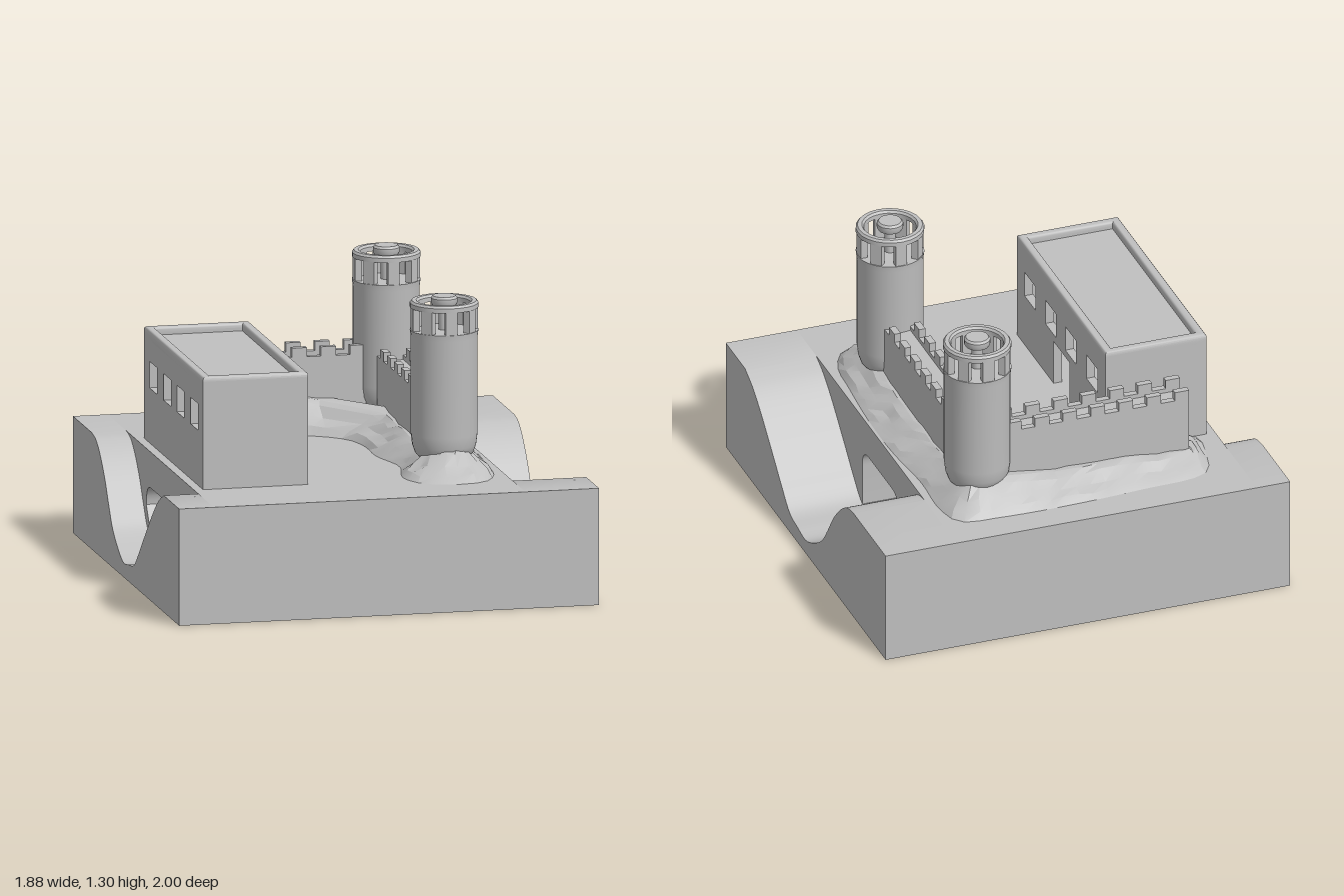
import * as THREE from 'three';
import { toCreasedNormals } from 'three/addons/utils/BufferGeometryUtils.js';

const stone = new THREE.MeshStandardMaterial({ color: 0xc0c0c0 });
stone.name = 'grey stone';
const rock = stone;
const GROUND = 0.52;

function add(parent, name, geometry, x = 0, y = 0, z = 0) {
  const mesh = new THREE.Mesh(geometry, stone);
  mesh.name = name;
  mesh.position.set(x, y, z);
  parent.add(mesh);
  return mesh;
}

// Box given by its limits on each axis
function block(parent, name, x0, x1, y0, y1, z0, z1) {
  return add(parent, name, new THREE.BoxGeometry(x1 - x0, y1 - y0, z1 - z0),
    (x0 + x1) / 2, (y0 + y1) / 2, (z0 + z1) / 2);
}

// Extrude a (-z, y) shape along x, from x0 to x1
function slab(parent, name, shape, x0, x1) {
  const g = new THREE.ExtrudeGeometry(shape, { depth: x1 - x0, bevelEnabled: false, curveSegments: 8 });
  g.rotateY(Math.PI / 2);
  return add(parent, name, toCreasedNormals(g, 0.5), x0, 0, 0);
}

function rectPath(Type, x0, x1, y0, y1) {
  return new Type([[x0, y0], [x1, y0], [x1, y1], [x0, y1]].map(p => new THREE.Vector2(...p)));
}

function lathe(parent, name, points, y = 0, segments = 32) {
  const g = new THREE.LatheGeometry(points.map(p => new THREE.Vector2(...p)), segments);
  return add(parent, name, toCreasedNormals(g, 0.6), 0, y, 0);
}

// Ground block: a valley at each side and a tunnel between them
const VALLEY = [[0.76, 0.52], [0.66, 0.475], [0.55, 0.395], [0.4, 0.265], [0.3, 0.175], [0.2, 0.095],
  [0.1, 0.075], [0, 0.065], [-0.1, 0.105], [-0.2, 0.17], [-0.27, 0.255], [-0.35, 0.365],
  [-0.44, 0.455], [-0.52, 0.505], [-0.6, 0.52]];

function valleyShape(shift) {
  const s = new THREE.Shape();
  s.moveTo(-1, 0).lineTo(1, 0).lineTo(1, GROUND);
  const pts = VALLEY.map(([z, y]) => new THREE.Vector2(-z + shift, y)).reverse();
  s.lineTo(pts[0].x, pts[0].y);
  s.splineThru(pts.slice(1));
  s.lineTo(-1, GROUND);
  return s;
}

function ground(parent) {
  const g = new THREE.Group();
  g.name = 'ground';
  parent.add(g);
  slab(g, 'right valley', valleyShape(0), 0.61, 0.94);
  slab(g, 'left valley', valleyShape(0.05), -0.94, -0.785);
  const mid = rectPath(THREE.Shape, -1, 1, 0, GROUND);
  const tunnel = new THREE.Path();
  tunnel.moveTo(-0.18, 0.085).lineTo(-0.18, 0.28);
  tunnel.quadraticCurveTo(-0.18, 0.36, -0.1, 0.36).lineTo(0.19, 0.36);
  tunnel.quadraticCurveTo(0.27, 0.36, 0.27, 0.27);
  tunnel.lineTo(0.2, 0.17).lineTo(0.1, 0.105).lineTo(0, 0.065).lineTo(-0.1, 0.075);
  mid.holes.push(tunnel);
  slab(g, 'bridge with tunnel', mid, -0.785, 0.61);
}

// Hollow hall with windows, a doorway and a sunken roof
function hall(parent) {
  const g = new THREE.Group();
  g.name = 'hall';
  parent.add(g);
  const x0 = -0.745, x1 = -0.275, z0 = -0.48, z1 = 0.63, top = 1.0, t = 0.04;
  const sideWall = door => {
    const s = new THREE.Shape();
    s.moveTo(-z1, GROUND);
    if (door) s.lineTo(-0.17, GROUND).lineTo(-0.17, 0.73).lineTo(0.03, 0.73).lineTo(0.03, GROUND);
    s.lineTo(-z0, GROUND).lineTo(-z0, top).lineTo(-z1, top);
    for (const z of [0.465, 0.205, -0.045, -0.31])
      s.holes.push(rectPath(THREE.Path, -z - 0.068, -z + 0.068, 0.765, 0.883));
    return s;
  };
  slab(g, 'windowed wall', sideWall(false), x0, x0 + t);
  slab(g, 'wall with doorway', sideWall(true), x1 - t, x1);
  block(g, 'front wall', x0 + t, x1 - t, GROUND, top, z1 - t, z1);
  block(g, 'back wall', x0 + t, x1 - t, GROUND, top, z0, z0 + t);
  block(g, 'roof', x0 + t / 2, x1 - t / 2, 0.95, 0.985, z0 + t / 2, z1 - t / 2);
  // Rounded roof rim
  const b = 0.012;
  const rim = rectPath(THREE.Shape, x0 + b, x1 - b, z0 + b, z1 - b);
  rim.holes.push(rectPath(THREE.Path, x0 + 0.028, x1 - 0.028, z0 + 0.028, z1 - 0.028));
  const rg = new THREE.ExtrudeGeometry(rim, { depth: 0.03, bevelSize: b, bevelThickness: b, bevelSegments: 3 });
  rg.rotateX(Math.PI / 2).scale(1, 1, 1);
  add(g, 'roof rim', toCreasedNormals(rg, 0.6), 0, 1.02 - b, 0);
}

// Round tower with an open lookout
function tower(parent, name, x, z) {
  const g = new THREE.Group();
  g.name = name;
  g.position.set(x, 0, z);
  parent.add(g);
  lathe(g, 'tower body', [[0.09, GROUND], [0.105, 0.58], [0.128, 0.605], [0.14, 0.64], [0.146, 0.69],
    [0.146, 1.12], [0.15, 1.15], [0, 1.15]]);
  lathe(g, 'lookout ring', [[0.115, 1.25], [0.15, 1.25], [0.15, 1.27], [0.142, 1.28], [0.123, 1.28],
    [0.115, 1.27], [0.115, 1.25]], 0, 24);
  for (let i = 0; i < 8; i++) {
    const a = i * Math.PI / 4;
    const p = add(g, 'lookout post', new THREE.BoxGeometry(0.052, 0.11, 0.03),
      Math.sin(a) * 0.13, 1.2, Math.cos(a) * 0.13);
    p.rotation.y = a;
  }
  lathe(g, 'centre post and cap', [[0.025, 1.15], [0.025, 1.25], [0.052, 1.258], [0.058, 1.27],
    [0.058, 1.29], [0.05, 1.3], [0, 1.3]], 0, 20);
}

// Battlement wall running along local x
function battlement(parent, name, length, firstMerlon, width = 0.145) {
  const g = new THREE.Group();
  g.name = name;
  parent.add(g);
  const h = width / 2, t = 0.03;
  block(g, 'wall', 0, length, GROUND, 0.815, -h, h);
  for (const s of [-1, 1]) {
    const a = s > 0 ? h - t : -h, b = a + t;
    block(g, 'parapet', 0, length, 0.815, 0.835, a, b);
    for (let x = firstMerlon; x < length - 0.01; x += 0.13)
      block(g, 'merlon', Math.max(x, 0), Math.min(x + 0.066, length), 0.835, 0.876, a, b);
  }
  return g;
}

// Rocky mound under the walls: rings stepping in from the outline to the wall line
const OUTLINE = [[-0.69, -0.48, 0.58], [-0.68, -0.65, 0.59], [-0.62, -0.8, 0.58], [-0.3, -0.84, 0.6],
  [0.05, -0.86, 0.61], [0.35, -0.855, 0.64], [0.53, -0.83, 0.645], [0.575, -0.7, 0.63], [0.57, -0.45, 0.61],
  [0.595, -0.15, 0.6], [0.595, 0.15, 0.6], [0.575, 0.45, 0.62], [0.56, 0.62, 0.63], [0.49, 0.75, 0.64],
  [0.36, 0.78, 0.64], [0.22, 0.73, 0.63], [0.16, 0.6, 0.62], [0.2, 0.35, 0.61], [0.15, 0.12, 0.62],
  [0.15, -0.08, 0.62], [0.11, -0.24, 0.63], [0, -0.34, 0.66], [-0.12, -0.385, 0.7], [-0.27, -0.365, 0.71],
  [-0.31, -0.48, 0.7], [-0.5, -0.485, 0.6]];
const PROFILE = [[0, 0], [0.12, 0.25], [0.3, 0.5], [0.48, 0.85], [0.62, 1], [1, 1]];

function mound(parent) {
  let seed = 7;
  const rand = () => (seed = (seed * 16807) % 2147483647) / 2147483647 - 0.5;
  const curve = new THREE.CatmullRomCurve3(OUTLINE.map(([x, z, h]) => new THREE.Vector3(x, h, z)), true, 'centripetal');
  const n = 80, pos = [], index = [];
  const pts = curve.getSpacedPoints(n).slice(0, n);
  PROFILE.forEach(([t, k], r) => {
    for (const p of pts) {
      // nearest point on the L-shaped wall line
      const a = [THREE.MathUtils.clamp(p.x, -0.58, 0.37), -0.605];
      const b = [0.37, THREE.MathUtils.clamp(p.z, -0.605, 0.48)];
      const da = Math.hypot(p.x - a[0], p.z - a[1]), db = Math.hypot(p.x - b[0], p.z - b[1]);
      const c = da < db ? a : b;
      const j = r > 0 && r < 5 ? 0.014 : 0;
      pos.push(p.x + (c[0] - p.x) * t + rand() * j, GROUND + (p.y - GROUND) * k + rand() * j,
        p.z + (c[1] - p.z) * t + rand() * j);
    }
    if (r === 0) return;
    for (let i = 0; i < n; i++) {
      const i2 = (i + 1) % n, o = (r - 1) * n, q = r * n;
      index.push(o + i, q + i, o + i2, o + i2, q + i, q + i2);
    }
  });
  const g = new THREE.BufferGeometry();
  g.setAttribute('position', new THREE.Float32BufferAttribute(pos, 3));
  g.setIndex(index);
  g.computeVertexNormals();
  add(parent, 'rocky mound', toCreasedNormals(g, 0.3)).material = rock;
}

export function createModel() {
  const model = new THREE.Group();
  model.name = 'castle on a bridge';
  ground(model);
  hall(model);
  mound(model);
  tower(model, 'front tower', 0.37, 0.48);
  tower(model, 'back tower', 0.37, -0.61);
  const back = battlement(model, 'back battlement', 0.85, 0);
  back.position.set(-0.59, 0, -0.605);
  const side = battlement(model, 'side battlement', 0.86, 0.06);
  side.rotation.y = -Math.PI / 2;
  side.position.set(0.37, 0, -0.48);
  return model;
}
